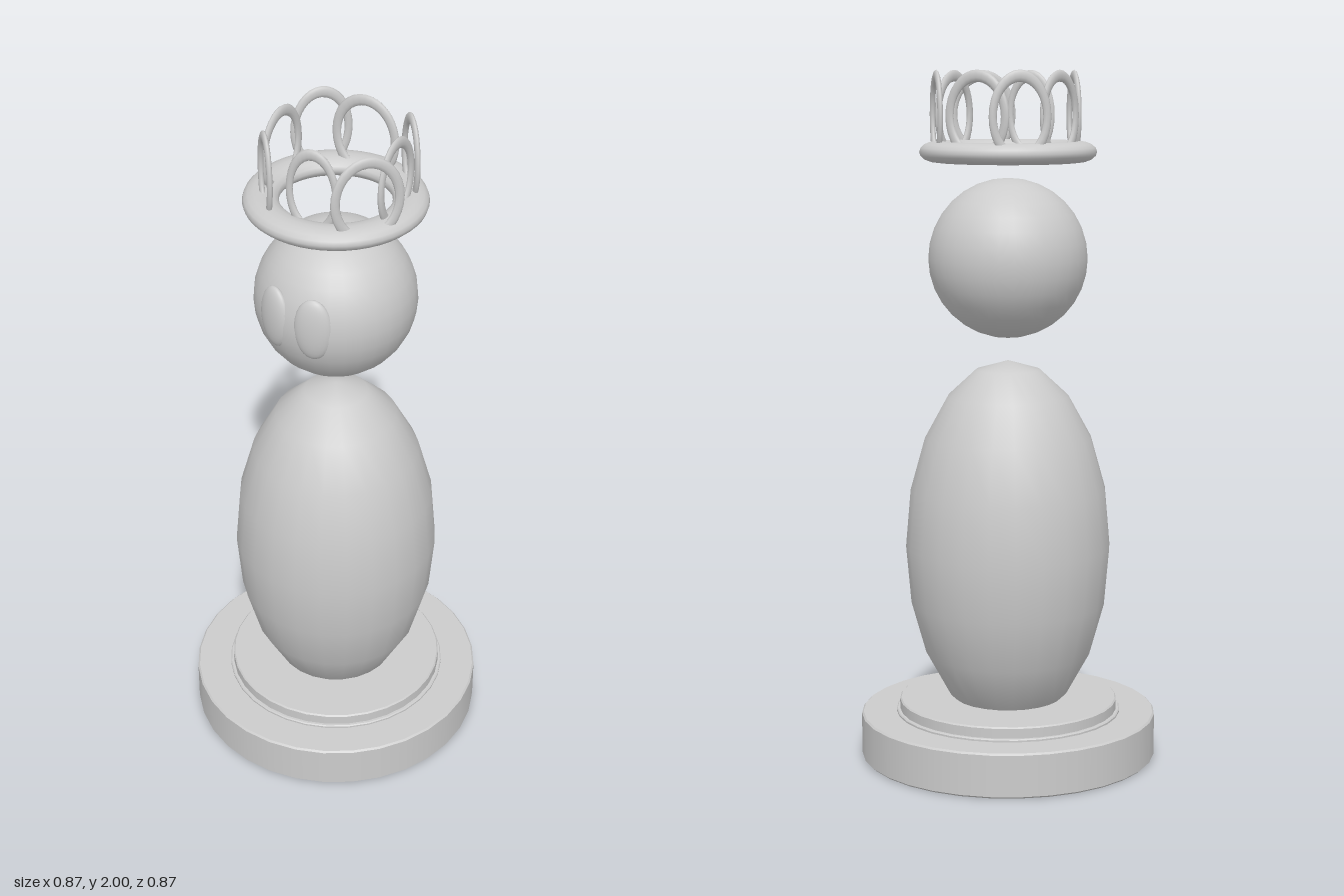
import * as THREE from 'three';

const material = new THREE.MeshStandardMaterial({ color: 0xcccccc });

function addPart(group, name, geometry, position = [0, 0, 0], scale = [1, 1, 1], turn = 0) {
  const mesh = new THREE.Mesh(geometry, material);
  mesh.name = name;
  mesh.position.set(...position);
  mesh.scale.set(...scale);
  mesh.rotation.y = turn;
  group.add(mesh);
  return mesh;
}

// Round plinth slab with a small bevel on both rims
function slab(radius, y0, y1, bevel) {
  const p = [[0, y0], [radius - bevel, y0], [radius, y0 + bevel], [radius, y1 - bevel], [radius - bevel, y1], [0, y1]];
  // Double each corner so the edges stay crisp
  const points = p.flatMap(([x, y], i) => {
    const v = new THREE.Vector2(x, y);
    return i === 0 || i === p.length - 1 ? [v] : [v, v.clone()];
  });
  return new THREE.LatheGeometry(points, 32);
}

export function createModel() {
  const model = new THREE.Group();
  model.name = 'figure';

  // Stepped base
  addPart(model, 'basePlinth', slab(0.433, 0, 0.13, 0.005));
  addPart(model, 'baseLip', slab(0.33, 0.12, 0.138, 0.003));
  addPart(model, 'baseStep', slab(0.32, 0.13, 0.17, 0.004));

  // Egg-shaped body and floating head
  addPart(model, 'body', new THREE.SphereGeometry(1, 24, 10), [0, 0.627, 0], [0.299, 0.545, 0.299]);
  addPart(model, 'head', new THREE.SphereGeometry(0.229, 32, 16), [0, 1.467, 0]);

  // Oval eyes, set into the head's -x side
  const eyeShape = new THREE.SphereGeometry(1, 24, 16);
  for (const degrees of [22, -12]) {
    const a = THREE.MathUtils.degToRad(degrees);
    addPart(model, 'eye', eyeShape,
      [-0.212 * Math.cos(a), 1.482, 0.212 * Math.sin(a)], [0.025, 0.093, 0.055], a);
  }

  // Crown: flattened ring with thin upright loops
  const crown = new THREE.Group();
  crown.name = 'crown';
  model.add(crown);
  const band = new THREE.TorusGeometry(0.203, 0.05, 16, 48).rotateX(Math.PI / 2);
  addPart(crown, 'crownBand', band, [0, 1.77, 0], [1, 0.6, 1]);

  // Ends of each loop in plan: x0, z0, x1, z1
  const loops = [
    [-0.12, -0.158, 0.077, -0.184], [0.067, -0.214, 0.207, -0.107],
    [0.153, -0.135, 0.193, 0.065], [0.212, 0.065, 0.109, 0.193],
    [0.123, 0.165, -0.07, 0.198], [-0.184, 0.128, -0.016, 0.242],
    [-0.177, -0.026, -0.137, 0.121], [-0.207, -0.053, -0.116, -0.167],
  ];
  const loopShape = new THREE.TorusGeometry(0.87, 0.13, 10, 32);
  for (const [x0, z0, x1, z1] of loops) {
    const half = Math.hypot(x1 - x0, z1 - z0) / 2;
    addPart(crown, 'crownLoop', loopShape,
      [(x0 + x1) / 2, 1.872, (z0 + z1) / 2], [half, 0.128, 0.06], Math.atan2(z0 - z1, x1 - x0));
  }
  return model;
}
